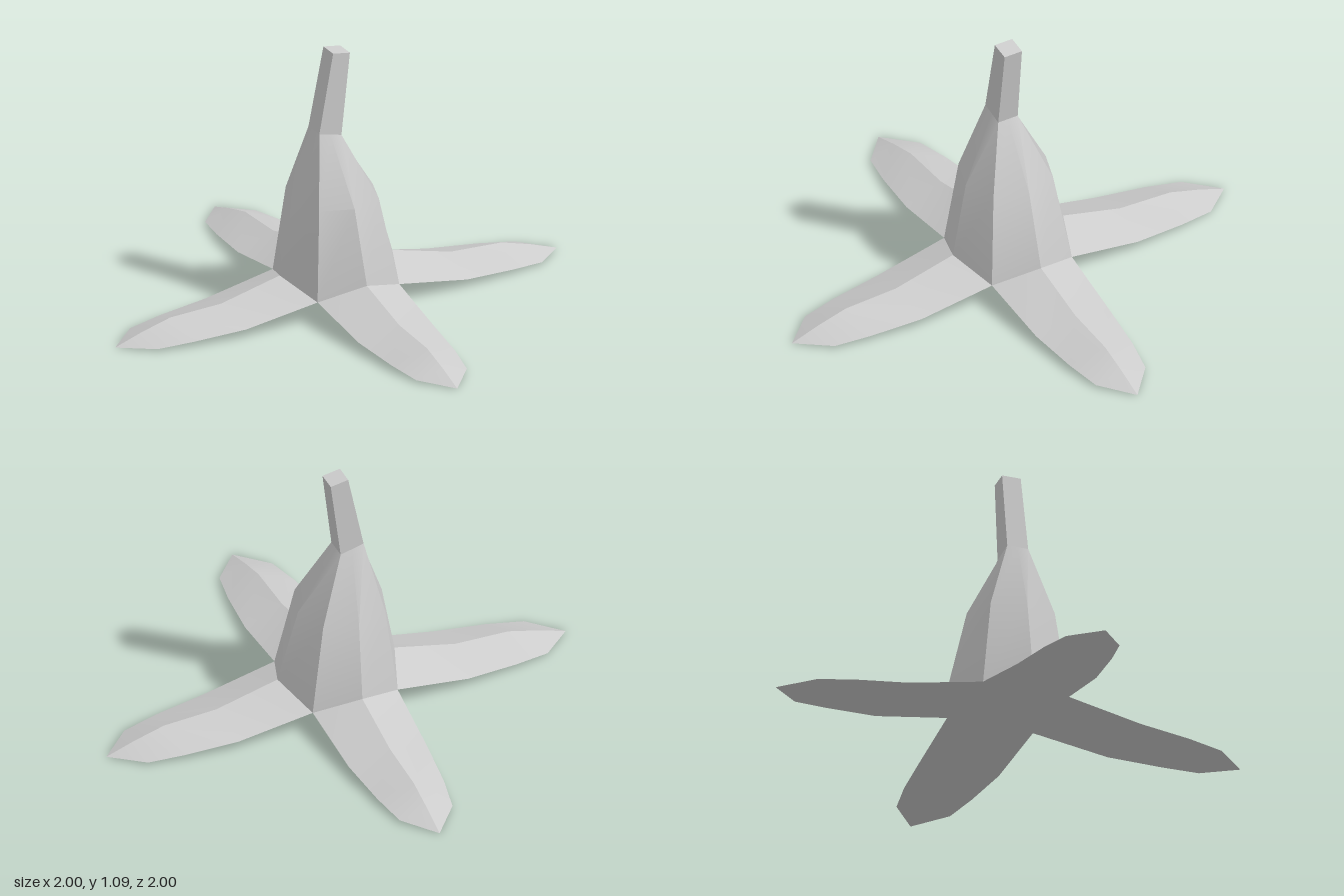
import * as THREE from 'three';
import { toCreasedNormals } from 'three/addons/utils/BufferGeometryUtils.js';

const peelGrey = new THREE.MeshStandardMaterial({ color: 0xcccccc });
peelGrey.name = 'peelGrey';

// Joins closed loops of points into a skin; a loop of one point closes an end.
function loft(name, loops) {
  const out = [];
  const tri = (a, b, c) => out.push(...a, ...b, ...c);
  for (let k = 0; k < loops.length - 1; k++) {
    const a = loops[k], b = loops[k + 1];
    const n = Math.max(a.length, b.length);
    for (let i = 0; i < n; i++) {
      const j = (i + 1) % n;
      if (a.length === 1) tri(a[0], b[i], b[j]);
      else if (b.length === 1) tri(a[i], b[0], a[j]);
      else {
        tri(a[i], b[i], a[j]);
        tri(b[i], b[j], a[j]);
      }
    }
  }
  const geo = new THREE.BufferGeometry();
  geo.setAttribute('position', new THREE.Float32BufferAttribute(out, 3));
  const mesh = new THREE.Mesh(toCreasedNormals(geo, 0.54), peelGrey);
  mesh.name = name;
  return mesh;
}

// Eight-point ring: ridges on the axes, valleys on the diagonals.
function ring(cx, ridgeX, ridgeZ, valleyX, valleyZ, ridgeY, valleyY, tilt = 0) {
  const signs = [[1, 0], [1, 1], [0, 1], [-1, 1], [-1, 0], [-1, -1], [0, -1], [1, -1]];
  return signs.map(([sx, sz]) => {
    const valley = sx && sz;
    return [
      cx + sx * (valley ? valleyX : ridgeX),
      (valley ? valleyY : ridgeY) - sx * tilt,
      sz * (valley ? valleyZ : ridgeZ),
    ];
  });
}

// One peeled strip along +x: folded ridge on top, almost flat below.
function petal(name) {
  const sections = [
    // ridge x, ridge y, edge x, edge y, half width, underside y
    [0.255, 0.16, 0.185, 0.1, 0.185, 0.085],
    [0.52, 0.095, 0.5, 0.045, 0.17, 0.045],
    [0.75, 0.085, 0.72, 0.03, 0.145, 0.028],
    [0.88, 0.049, 0.87, 0.018, 0.115, 0.016],
  ];
  const loops = sections.map(([rx, ry, ex, ey, w, uy]) => [
    [ex, ey, w], [rx, ry, 0], [ex, ey, -w], [ex, uy, 0],
  ]);
  loops.push([[1, 0.008, 0]]);
  return loft(name, loops);
}

export function createModel() {
  const model = new THREE.Group();
  model.name = 'bananaPeel';

  // Unpeeled body, closed underneath and narrowing to the neck
  const neck = ring(-0.05, 0.05, 0.045, 0.05, 0.045, 0.747, 0.747, 0.012);
  const middle = ring(-0.017, 0.182, 0.185, 0.135, 0.138, 0.47, 0.47);
  model.add(loft('body', [
    [[0, 0.085, 0]],
    ring(0, 0.185, 0.185, 0.185, 0.185, 0.085, 0.1),
  ]));
  model.add(loft('bodySides', [
    ring(0, 0.255, 0.255, 0.185, 0.185, 0.16, 0.1),
    middle,
    neck,
  ]));

  // Square stem leaning back over the centre
  model.add(loft('stem', [
    neck,
    ring(0.003, 0.038, 0.04, 0.038, 0.04, 1.088, 1.088, 0.006),
    [[0.003, 1.088, 0]],
  ]));

  // Four peeled strips
  ['left', 'back', 'right', 'front'].forEach((side, i) => {
    const strip = petal(side + 'Strip');
    strip.rotation.y = i * Math.PI / 2;
    model.add(strip);
  });
  return model;
}
